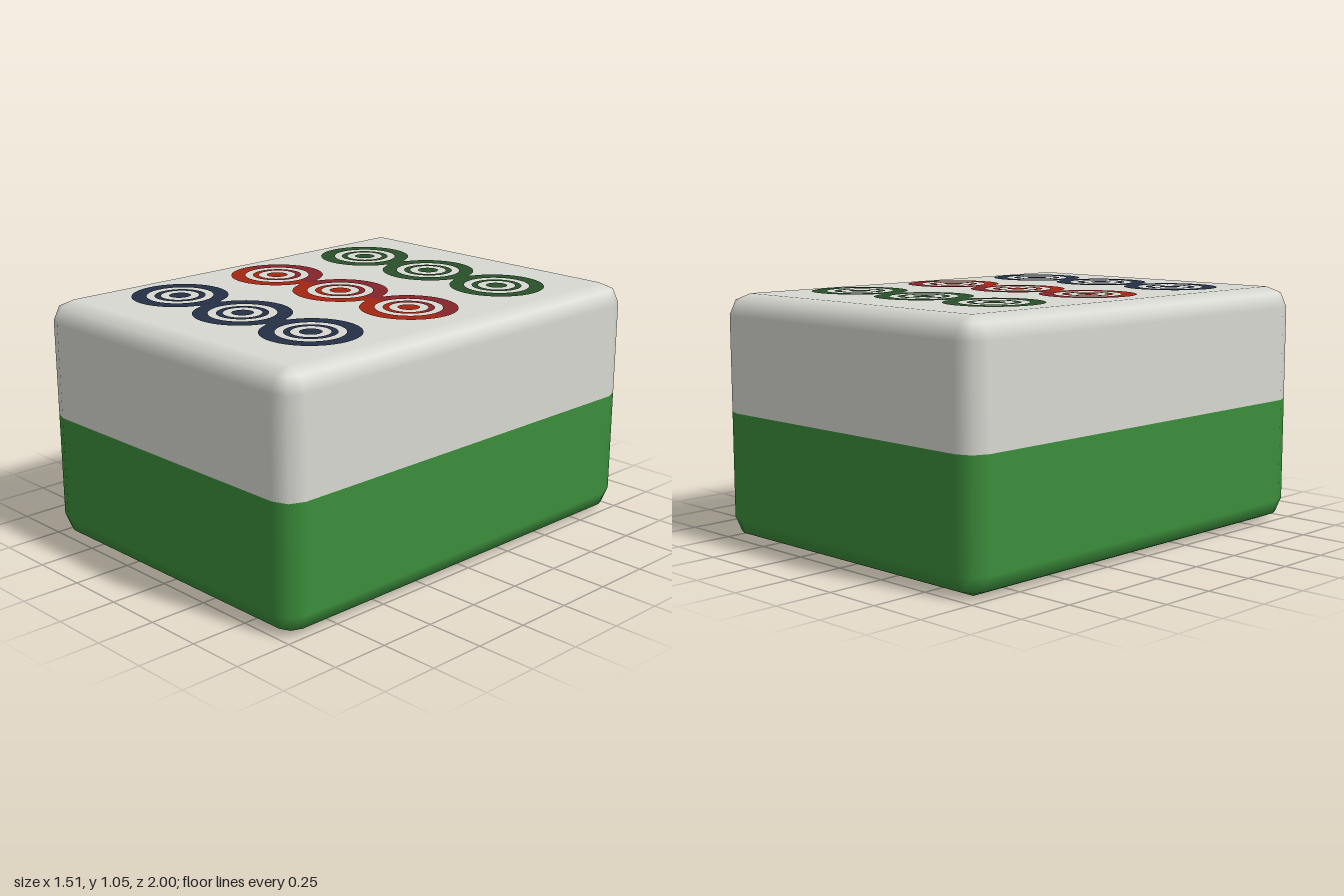
import * as THREE from 'three';

const HALF_X = 0.755, HALF_Z = 1, HEIGHT = 1.045, SEAM = 0.545, R = 0.09;
const STEPS = 2; // segments per rounded quarter

const paint = (name, color) => {
  const m = new THREE.MeshStandardMaterial({ color });
  m.name = name;
  return m;
};

// Rounded slab lofted from rounded-rectangle rings; level = [y, tilt of the normal]
function slabGeometry(levels, capTop) {
  const pos = [], nor = [], idx = [];
  const perRing = 4 * (STEPS + 1);
  for (const [y, tilt] of levels) {
    const c = Math.cos(tilt), s = Math.sin(tilt);
    for (let q = 0; q < 4; q++) {
      const sx = q === 0 || q === 3 ? 1 : -1, sz = q < 2 ? 1 : -1;
      for (let k = 0; k <= STEPS; k++) {
        const t = (q + k / STEPS) * Math.PI / 2;
        const nx = c * Math.cos(t), nz = c * Math.sin(t);
        pos.push(sx * (HALF_X - R) + R * nx, y, sz * (HALF_Z - R) + R * nz);
        nor.push(nx, s, nz);
      }
    }
  }
  for (let i = 0; i < levels.length - 1; i++) {
    for (let j = 0; j < perRing; j++) {
      const n = (j + 1) % perRing;
      const a = i * perRing + j, b = i * perRing + n;
      const c = a + perRing, d = b + perRing;
      idx.push(a, c, b, b, c, d);
    }
  }
  // Flat cap on the closed end
  const base = capTop ? (levels.length - 1) * perRing : 0;
  const [p, q, r, s] = [0, 1, 2, 3].map(k => base + k * (STEPS + 1));
  if (capTop) idx.push(p, s, r, p, r, q);
  else idx.push(p, r, s, p, q, r);

  const g = new THREE.BufferGeometry();
  g.setAttribute('position', new THREE.Float32BufferAttribute(pos, 3));
  g.setAttribute('normal', new THREE.Float32BufferAttribute(nor, 3));
  g.setIndex(idx);
  return g;
}

export function createModel() {
  const model = new THREE.Group();
  model.name = 'tile';
  const ivory = paint('ivory', 0xd8d8d2);
  const green = paint('green', 0x3b8c3b);
  const darkGreen = paint('darkGreen', 0x285028);
  const red = paint('red', 0xa32512);
  const darkRed = paint('darkRed', 0x85232a);
  const navy = paint('navy', 0x243047);

  const add = (parent, name, geometry, material) => {
    const mesh = new THREE.Mesh(geometry, material);
    mesh.name = name;
    parent.add(mesh);
    return mesh;
  };

  // Two-coloured body
  const lower = [], upper = [[SEAM, 0]];
  for (let k = 0; k <= STEPS; k++) {
    const a = k / STEPS * Math.PI / 2;
    lower.unshift([R - R * Math.sin(a), -a]);
    upper.push([HEIGHT - R + R * Math.sin(a), a]);
  }
  lower.push([SEAM, 0]);
  add(model, 'greenBack', slabGeometry(lower, false), green);
  add(model, 'ivoryFace', slabGeometry(upper, true), ivory);

  // Painted circles: three rows of three, each drawn as a back and a front half
  const rings = [['outerRing', 0.14, 0.203], ['innerRing', 0.08, 0.107]];
  const rows = [
    ['greenCircles', -0.535, darkGreen, darkGreen],
    ['redCircles', 0.012, darkRed, red],
    ['navyCircles', 0.557, navy, navy],
  ];
  for (const [name, z, backPaint, frontPaint] of rows) {
    const row = new THREE.Group();
    row.name = name;
    row.position.set(0, HEIGHT + 0.004, z);
    row.rotation.x = -Math.PI / 2;
    model.add(row);
    for (const x of [-0.403, 0, 0.403]) {
      for (const [ringName, inner, outer] of rings) {
        [backPaint, frontPaint].forEach((m, h) => {
          const half = new THREE.RingGeometry(inner, outer, 20, 1, h * Math.PI, Math.PI);
          add(row, ringName, half, m).position.x = x;
        });
      }
      add(row, 'dot', new THREE.CircleGeometry(0.046, 20), frontPaint).position.x = x;
    }
    // Small joins where neighbouring circles touch
    for (const x of [-0.2, 0.2]) {
      [backPaint, frontPaint].forEach((m, h) => {
        add(row, 'join', new THREE.PlaneGeometry(0.06, 0.055), m)
          .position.set(x, h ? -0.0275 : 0.0275, 0);
      });
    }
  }
  return model;
}
